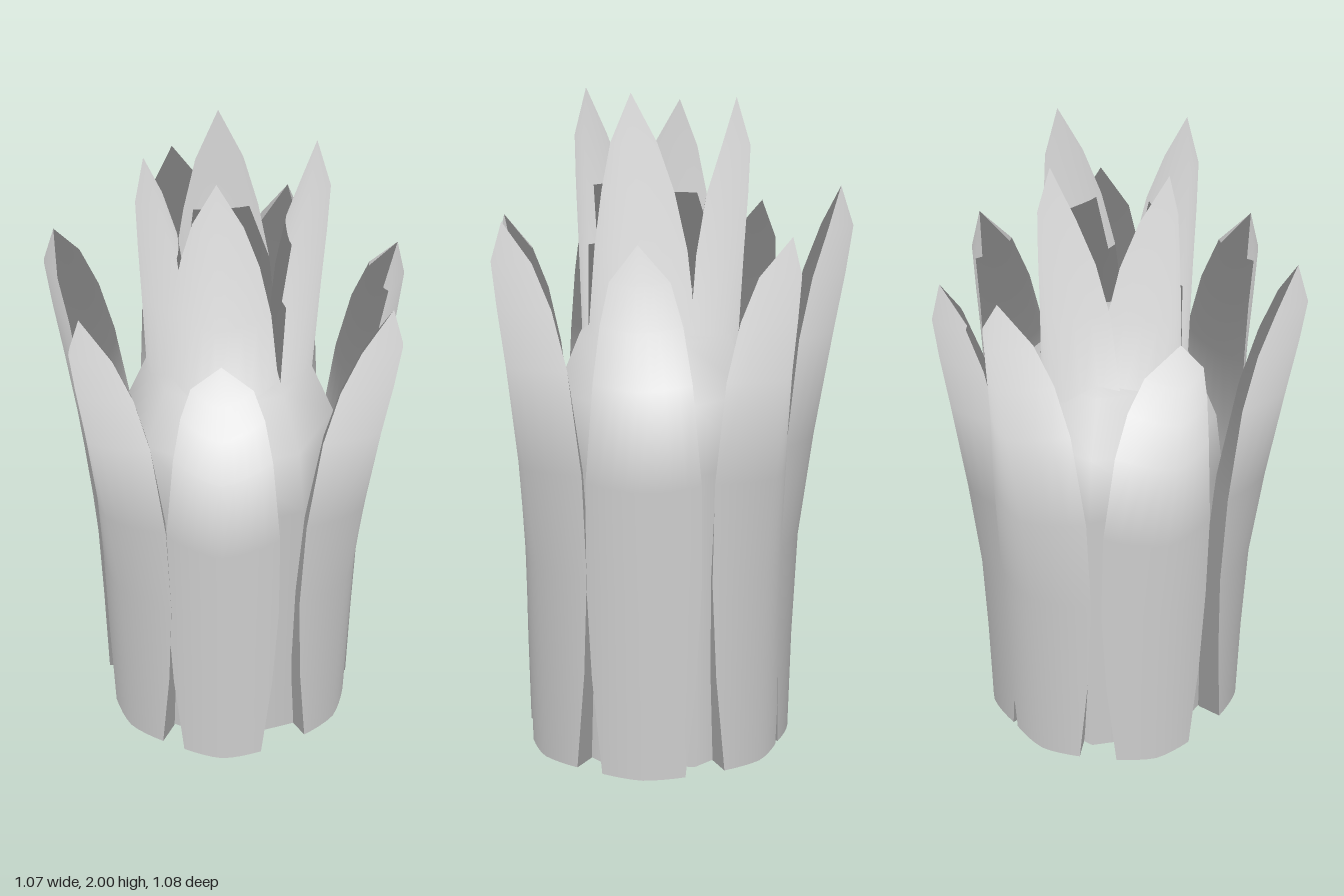
import * as THREE from 'three';

const COLS = 8;
const CENTRE_X = 0.03;
const CORE_RADIUS = 0.345;
const DOME_BASE = 0.91;
const DOME_HEIGHT = 0.53;

// Cross-sections of a petal from base to tip:
// [height, half width, ridge radius, depth of curl, radius of the inner face]
const OUTER = [
  [0, 0.125, 0.42, 0.035, 0.26], [0.3, 0.155, 0.425, 0.05, 0.28], [0.6, 0.17, 0.435, 0.065, 0.3],
  [0.9, 0.168, 0.465, 0.09, 0.32], [1.2, 0.142, 0.503, 0.11, 0.36], [1.37, 0.117, 0.526, 0.105, 0.4],
  [1.5, 0.085, 0.54, 0.08, 0.445], [1.61, 0, 0.512, 0, 0.512],
];
const INNER = [
  [0.6, 0.17, 0.23, 0.07, 0.05], [1.25, 0.172, 0.25, 0.115, 0.11], [1.55, 0.142, 0.265, 0.115, 0.135],
  [1.72, 0.11, 0.275, 0.1, 0.16], [1.86, 0.07, 0.28, 0.07, 0.2], [2, 0, 0.24, 0, 0.24],
];

// Shared soft normals: straight out from the axis, turning upward above the dome's base
function setBudNormals(geometry) {
  const p = geometry.attributes.position;
  const normals = [], n = new THREE.Vector3();
  for (let i = 0; i < p.count; i++) {
    n.set(p.getX(i), Math.max(0, p.getY(i) - DOME_BASE), p.getZ(i)).normalize();
    normals.push(n.x, n.y, n.z);
  }
  geometry.setAttribute('normal', new THREE.Float32BufferAttribute(normals, 3));
  return geometry;
}

// Thick petal: ridged outer face, bulging inner face meeting it at the edges, and a flat base
function petalGeometry(rows, tipHeight, lean) {
  const pos = [], idx = [];
  const last = rows.length - 1, base = rows[0][2];
  const stretch = tipHeight / rows[last][0];
  const addFace = (radiusAt) => {
    for (const [y, w, ridge, depth, inside] of rows) {
      const shift = (ridge - base) * (lean - 1);
      for (let i = 0; i <= COLS; i++) {
        const u = (i / COLS) * 2 - 1;
        pos.push(u * w, y * stretch, shift + radiusAt(Math.abs(u), ridge, depth, inside));
      }
    }
  };
  addFace((u, ridge, depth) => ridge - depth * u ** 1.5);
  addFace((u, ridge, depth, inside) => inside + (ridge - depth - inside) * u ** 3);
  const stride = COLS + 1, inner = stride * rows.length;
  for (let i = 0; i < COLS; i++) {
    for (let j = 0; j < last; j++) {
      const a = j * stride + i, b = a + 1, c = a + stride, d = c + 1;
      idx.push(a, b, d, a, d, c);
      idx.push(inner + a, inner + d, inner + b, inner + a, inner + c, inner + d);
    }
    const p = inner + i;
    idx.push(i, p, i + 1, i + 1, p, p + 1);
  }
  const g = new THREE.BufferGeometry();
  g.setAttribute('position', new THREE.Float32BufferAttribute(pos, 3));
  g.setIndex(idx);
  return setBudNormals(g);
}

// Eight-sided column with a domed top and a flat underside
function coreGeometry() {
  const steps = 4;
  const profile = [new THREE.Vector2(0.001, 0), new THREE.Vector2(CORE_RADIUS, 0)];
  for (let i = 0; i <= steps; i++) {
    const a = (i / steps) * Math.PI / 2;
    profile.push(new THREE.Vector2(CORE_RADIUS * Math.cos(a), DOME_BASE + DOME_HEIGHT * Math.sin(a)));
  }
  return setBudNormals(new THREE.LatheGeometry(profile, 8));
}

export function createModel() {
  const model = new THREE.Group();
  model.name = 'flowerBud';
  const grey = new THREE.MeshStandardMaterial({ color: 0xcccccc });
  grey.name = 'pale grey';

  const core = new THREE.Mesh(coreGeometry(), grey);
  core.name = 'core';
  core.position.x = CENTRE_X;
  model.add(core);

  const addRing = (name, rows, petals) => {
    const ring = new THREE.Group();
    ring.name = name + 'Ring';
    ring.position.x = CENTRE_X;
    for (const [angle, height, lean] of petals) {
      const petal = new THREE.Mesh(petalGeometry(rows, height, lean), grey);
      petal.name = name;
      petal.rotation.y = THREE.MathUtils.degToRad(angle);
      ring.add(petal);
    }
    model.add(ring);
  };

  // Petals: [angle from the front, tip height, outward lean]
  addRing('outerPetal', OUTER, [
    [2, 1.61, 1], [61, 1.65, 1.25], [109.5, 1.61, 1], [163.5, 1.61, 1],
    [203, 1.72, 1.4], [256, 1.63, 1.35], [315, 1.65, 1.25],
  ]);
  addRing('innerPetal', INNER, [
    [-4, 2, 1], [98, 2, 1.07], [192, 1.98, 1.07], [277, 1.96, 0.65],
  ]);
  return model;
}
